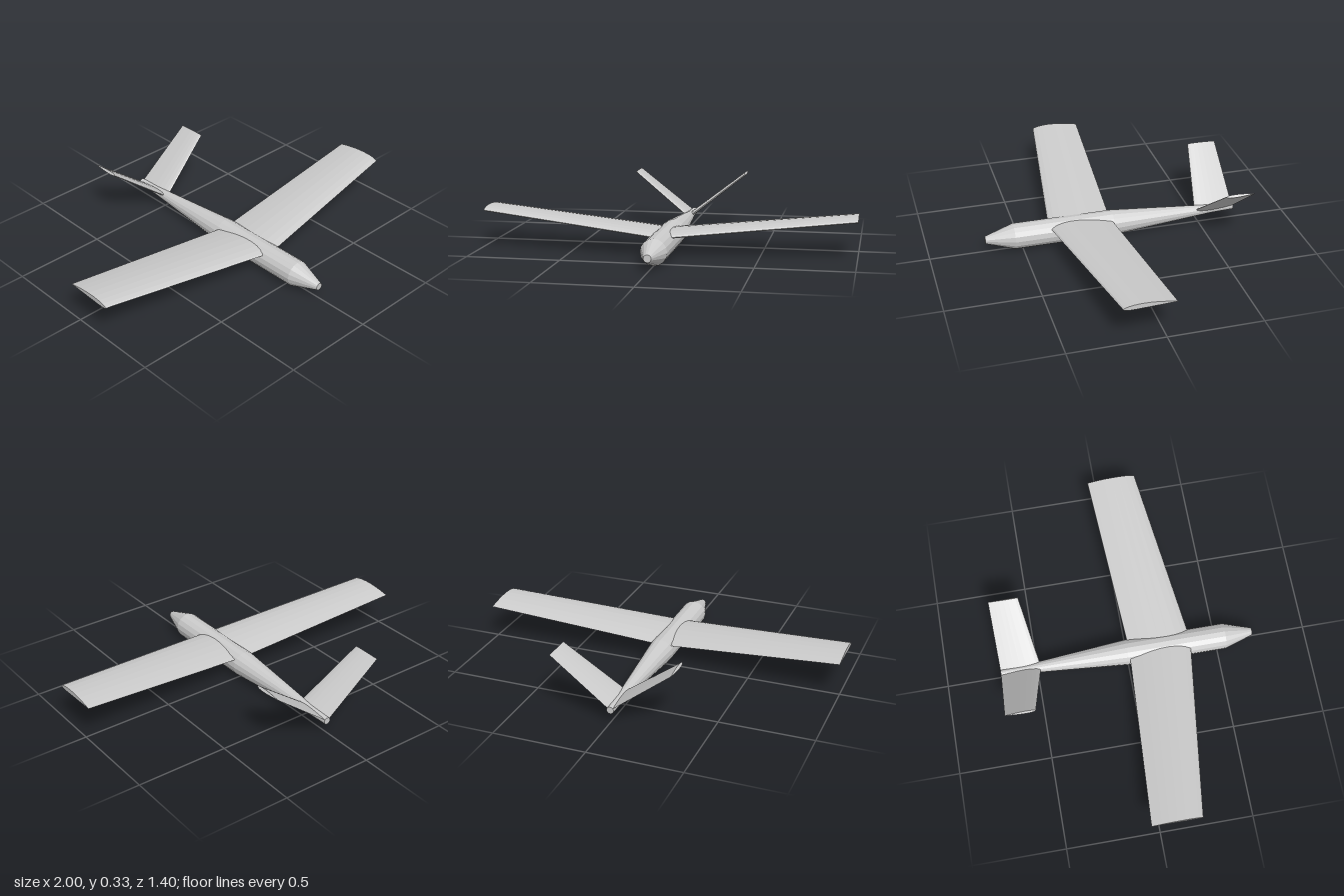
import * as THREE from 'three';

const material = new THREE.MeshStandardMaterial({ color: 0xcccccc, flatShading: true });

// Closed aerofoil outline as [chord fraction from nose, height / chord]
function aerofoil(thickness, camber, n = 10) {
  const half = (t) => 5 * thickness *
    (0.2969 * Math.sqrt(t) - 0.126 * t - 0.3516 * t * t + 0.2843 * t ** 3 - 0.1036 * t ** 4);
  const mean = (t) => 4 * camber * t * (1 - t);
  const points = [];
  for (let i = 0; i < 2 * n; i++) {
    const t = (1 + Math.cos((i / n) * Math.PI)) / 2;
    points.push([t, mean(t) + (i < n ? 1 : -1) * half(t)]);
  }
  return points;
}

// Skin through sections ordered by rising x, capped at both ends
function loft(sections) {
  const n = sections[0].length;
  const index = [];
  for (let s = 0; s < sections.length - 1; s++) {
    for (let j = 0; j < n; j++) {
      const k = (j + 1) % n;
      const a = s * n + j, b = s * n + k, c = b + n, d = a + n;
      index.push(a, b, c, a, c, d);
    }
  }
  const last = (sections.length - 1) * n;
  for (let j = 1; j < n - 1; j++) {
    index.push(0, j + 1, j, last, last + j, last + j + 1);
  }
  const geometry = new THREE.BufferGeometry();
  geometry.setAttribute('position', new THREE.Float32BufferAttribute(sections.flat(2), 3));
  geometry.setIndex(index);
  const flat = geometry.toNonIndexed();
  flat.computeVertexNormals();
  return flat;
}

// Place an outline at x, y between leading and trailing z, leaning by tilt
function section(outline, x, y, lead, trail, tilt = 0) {
  const chord = lead - trail;
  return outline.map(([t, h]) => [
    x - Math.sin(tilt) * h * chord,
    y + Math.cos(tilt) * h * chord,
    lead - t * chord,
  ]);
}

export function createModel() {
  const model = new THREE.Group();
  const add = (name, geometry) => {
    const mesh = new THREE.Mesh(geometry, material);
    mesh.name = name;
    model.add(mesh);
  };

  // Fuselage: turned body with tapered nose and slim tail boom
  const profile = [
    [0, -0.7], [0.019, -0.7], [0.023, -0.57], [0.07, 0],
    [0.07, 0.545], [0.02, 0.7], [0, 0.7],
  ].map(([r, z]) => new THREE.Vector2(r, z));
  const body = new THREE.LatheGeometry(profile, 16);
  body.rotateX(Math.PI / 2);
  body.translate(0, 0.07, 0);
  add('fuselage', body);

  // Main wing: one piece, swept and raised towards both tips
  const wingOutline = aerofoil(0.1, 0.027);
  const wingTip = (x) => section(wingOutline, x, 0.197, 0.22, -0.05);
  add('wing', loft([
    wingTip(-1),
    section(wingOutline, 0, 0.104, 0.354, 0.012),
    wingTip(1),
  ]));

  // V-tail: two slanted fins meeting inside the boom
  const finOutline = aerofoil(0.1, 0);
  const lean = Math.atan2(0.25, 0.32);
  for (const side of [-1, 1]) {
    const root = section(finOutline, 0, 0.07, -0.478, -0.7, side * lean);
    const tip = section(finOutline, side * 0.322, 0.32, -0.538, -0.7, side * lean);
    add(side > 0 ? 'leftTailFin' : 'rightTailFin', loft(side > 0 ? [root, tip] : [tip, root]));
  }

  return model;
}
